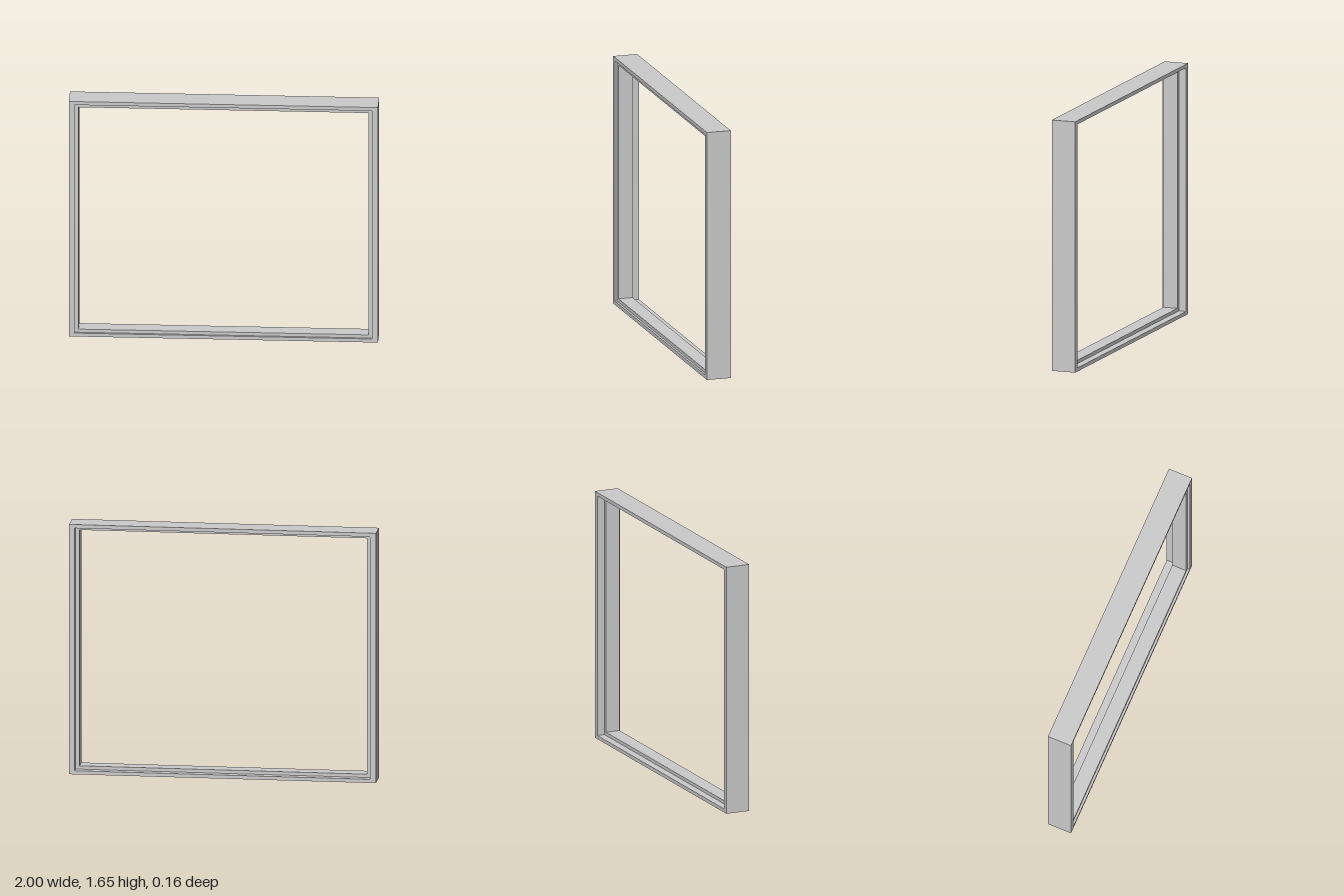
import * as THREE from 'three';

const WIDTH = 2, HEIGHT = 1.655, FRONT = 0.081, BACK = -0.081;

// Sweeps a closed profile of [side inset, top/bottom inset, z] around a rectangle with mitred corners.
function mitredFrame(profile) {
  const corners = [[-1, -1], [1, -1], [1, 1], [-1, 1]];
  const point = ([ix, iy, z], [sx, sy]) =>
    [sx * (WIDTH / 2 - ix), HEIGHT / 2 + sy * (HEIGHT / 2 - iy), z];
  const positions = [];
  corners.forEach((corner, i) => {
    const next = corners[(i + 1) % 4];
    profile.forEach((p, j) => {
      const q = profile[(j + 1) % profile.length];
      const a = point(p, corner), b = point(p, next);
      const c = point(q, next), d = point(q, corner);
      positions.push(...a, ...b, ...c, ...a, ...c, ...d);
    });
  });
  const geometry = new THREE.BufferGeometry();
  geometry.setAttribute('position', new THREE.Float32BufferAttribute(positions, 3));
  geometry.computeVertexNormals();
  return geometry;
}

export function createModel() {
  const group = new THREE.Group();
  group.name = 'windowFrame';

  // Rebates: shallow at the front, deeper at the back, with a stop between them
  const lip = [0.0375, 0.024], stop = [0.0625, 0.046];
  const frontStep = FRONT - 0.015, backStep = BACK + 0.05;
  const profile = [
    [0, 0, FRONT],
    [...lip, FRONT],
    [...lip, frontStep],
    [...stop, frontStep],
    [...stop, backStep],
    [...lip, backStep],
    [...lip, BACK],
    [0, 0, BACK],
  ];

  const frame = new THREE.Mesh(
    mitredFrame(profile),
    new THREE.MeshStandardMaterial({ color: 0xcccccc })
  );
  frame.name = 'rebatedFrame';
  group.add(frame);
  return group;
}
